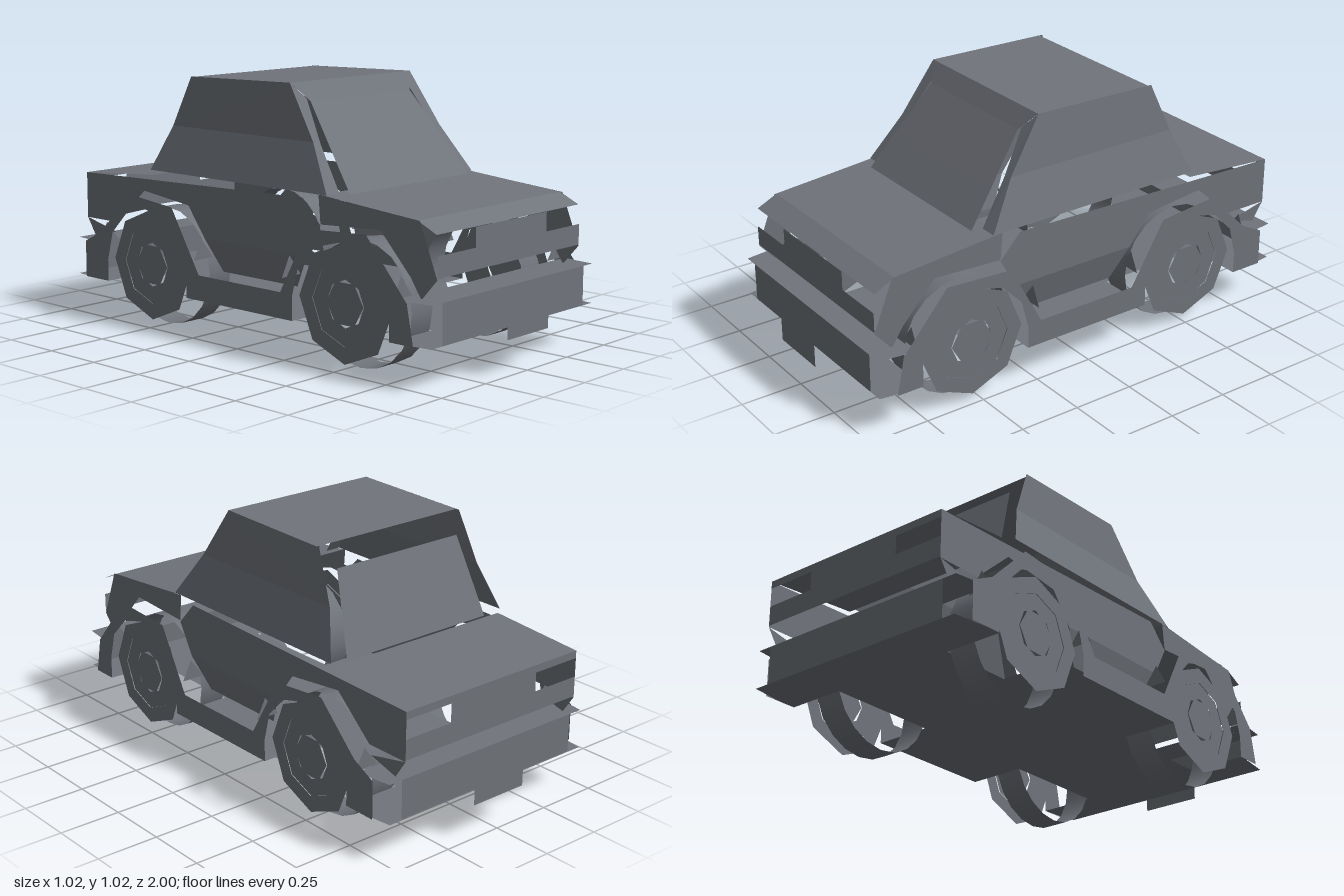
import * as THREE from 'three';

const bodyGrey = new THREE.MeshStandardMaterial({ color: 0x70747b, side: THREE.DoubleSide });
bodyGrey.name = 'bodyGrey';

function addMesh(group, name, geometry) {
  const mesh = new THREE.Mesh(geometry, bodyGrey);
  mesh.name = name;
  group.add(mesh);
  return mesh;
}

// Flat-shaded sheet lofted between two edges with the same number of points
function loft(a, b) {
  const pos = [];
  for (let i = 0; i < a.length - 1; i++) {
    pos.push(...a[i], ...b[i], ...b[i + 1], ...a[i], ...b[i + 1], ...a[i + 1]);
  }
  const g = new THREE.BufferGeometry();
  g.setAttribute('position', new THREE.Float32BufferAttribute(pos, 3));
  g.computeVertexNormals();
  return g;
}

// Sheet running across the car; rows are [half width, y, z]
function across(rows) {
  return loft(rows, rows.map(([x, y, z]) => [-x, y, z]));
}

// Upright side panel outlined in (z, y)
function sidePanel(outline, x) {
  const shape = new THREE.Shape(outline.map(([z, y]) => new THREE.Vector2(z, y)));
  const g = new THREE.ShapeGeometry(shape);
  g.rotateY(-Math.PI / 2);
  g.translate(x, 0, 0);
  return g;
}

const WHEEL_Z = [0.535, -0.505];
const HALF = 0.43, WIDE = 0.51;

// Points over the wheel, from the front foot of the arch to its rear foot
function archPoints(zc) {
  const pts = [[zc + 0.235, 0.16]];
  for (let i = 0; i <= 6; i++) {
    const a = Math.PI * i / 6;
    pts.push([zc + 0.235 * Math.cos(a), 0.25 + 0.235 * Math.sin(a)]);
  }
  pts.push([zc - 0.235, 0.16]);
  return pts;
}

function makeWheel(side, zc) {
  const wheel = new THREE.Group();
  wheel.name = 'wheel';
  // Profiles are [radius, distance from the car's centre line], then side count
  const profiles = {
    tread: [[[0.24, 0.275], [0.24, 0.39]], 20],
    tyreFace: [[[0.225, 0.48], [0.16, 0.48]], 8],
    rim: [[[0.16, 0.477], [0.09, 0.477]], 8],
    hub: [[[0.09, 0.48], [0, 0.48]], 6],
  };
  for (const [name, [pts, sides]] of Object.entries(profiles)) {
    const g = new THREE.LatheGeometry(pts.map(([r, h]) => new THREE.Vector2(r, h)), sides);
    g.rotateZ(-Math.PI / 2 * side);
    addMesh(wheel, name, g).position.y = name === 'tread' ? 0 : 0.015;
  }
  wheel.position.set(0, 0.24, zc);
  return wheel;
}

function makeSide(side) {
  const g = new THREE.Group();
  g.name = side > 0 ? 'leftSide' : 'rightSide';

  addMesh(g, 'frontFender', sidePanel([[0.36, 0.63], [0.84, 0.59], [0.92, 0.39], [0.85, 0.31],
    [0.8, 0.385], [0.66, 0.535], [0.37, 0.52]], HALF * side));
  addMesh(g, 'doorAndRearFender', sidePanel([[0.28, 0.61], [-0.96, 0.58], [-0.96, 0.39],
    [-0.77, 0.39], [-0.6, 0.54], [-0.34, 0.51], [-0.25, 0.39], [0.3, 0.39], [0.37, 0.515]], HALF * side));
  addMesh(g, 'rearCorner', sidePanel([[-0.78, 0.35], [-0.96, 0.39], [-0.91, 0.315]], HALF * side));

  // Lower door turning in slightly towards the sill
  addMesh(g, 'lowerDoor', loft(
    [[HALF * side, 0.39, -0.25], [0.395 * side, 0.26, -0.18]],
    [[HALF * side, 0.39, 0.3], [0.395 * side, 0.26, 0.22]]));

  // Skirt standing out from the body, with both wheel arches cut out
  addMesh(g, 'skirt', sidePanel([[-0.88, 0.16], [-0.88, 0.31], [-0.78, 0.36], [-0.6, 0.535],
    [-0.35, 0.51], [-0.2, 0.26], [0.24, 0.26], [0.38, 0.515], [0.66, 0.53], [0.85, 0.31], [0.88, 0.16],
    ...archPoints(WHEEL_Z[0]), ...archPoints(WHEEL_Z[1])], WIDE * side));

  // Small gussets between skirt and body
  for (const z of [0.79, 0.25, -0.225, -0.79]) {
    addMesh(g, 'gusset', loft([[0.41 * side, 0.315, z], [0.47 * side, 0.395, z]],
      [[WIDE * side, 0.315, z], [0.47 * side, 0.395, z]]));
  }

  for (const zc of WHEEL_Z) g.add(makeWheel(side, zc));

  // Cabin side, bowed out towards the belt line
  const frontEdge = [[0.35 * side, 1.02, 0.14], [0.372 * side, 0.81, 0.28], [HALF * side, 0.63, 0.4]];
  addMesh(g, 'cabinSide', loft(frontEdge,
    [[0.35 * side, 1.01, -0.4], [0.372 * side, 0.81, -0.485], [HALF * side, 0.63, -0.56]]));
  addMesh(g, 'frontPillar', loft(frontEdge,
    [[0.3 * side, 0.96, 0.18], [0.337 * side, 0.8, 0.285], [0.36 * side, 0.63, 0.4]]));
  return g;
}

export function createModel() {
  const car = new THREE.Group();
  car.name = 'car';

  // Upper body
  addMesh(car, 'hood', across([[HALF, 0.63, 0.37], [HALF, 0.59, 0.83], [HALF, 0.55, 0.915]]));
  addMesh(car, 'windshield', across([[0.35, 1.02, 0.14], [0.29, 0.95, 0.19], [0.33, 0.75, 0.35],
    [0.352, 0.63, 0.445]]));
  addMesh(car, 'roof', across([[0.35, 1.02, 0.14], [0.35, 1.01, -0.385]]));
  addMesh(car, 'rearWindow', across([[0.3, 0.93, -0.44], [0.35, 0.62, -0.555]]));
  addMesh(car, 'trunkLid', across([[HALF, 0.61, -0.55], [HALF, 0.58, -0.96], [HALF, 0.55, -0.96]]));

  // Nose and tail, with open lamp recesses beside the centre panels
  for (const [end, name] of [[0.92, 'nose'], [-0.96, 'tail']]) {
    addMesh(car, name + 'Panel', across([[0.215, 0.55, end], [0.215, 0.475, end]]));
    addMesh(car, name + 'Band', across([[HALF, 0.475, end], [HALF, 0.395, end]]));
  }

  // Floor with chamfered corners and wheel openings
  addMesh(car, 'floor', across([[0.49, 0.16, 0.945], [WIDE, 0.16, 0.8], [WIDE, 0.16, 0.77],
    [0.27, 0.16, 0.77], [0.27, 0.16, 0.3], [WIDE, 0.16, 0.3], [WIDE, 0.16, -0.27], [0.27, 0.16, -0.27],
    [0.27, 0.16, -0.74], [WIDE, 0.16, -0.74], [WIDE, 0.16, -0.8], [0.49, 0.16, -0.95]]));

  // Bumpers with a flat top, and plates standing in front of them
  for (const [end, name] of [[1, 'front'], [-1, 'rear']]) {
    addMesh(car, name + 'Bumper', across([[HALF, 0.315, 0.945 * end], [HALF, 0.16, 0.945 * end]]));
    addMesh(car, name + 'BumperTop', across([[0.49, 0.315, 0.945 * end], [WIDE, 0.315, 0.8 * end]]));
    const plate = addMesh(car, name + 'Plate', new THREE.PlaneGeometry(0.25, 0.11));
    plate.position.set(0, 0.19, end);
  }

  for (const side of [1, -1]) car.add(makeSide(side));
  return car;
}
